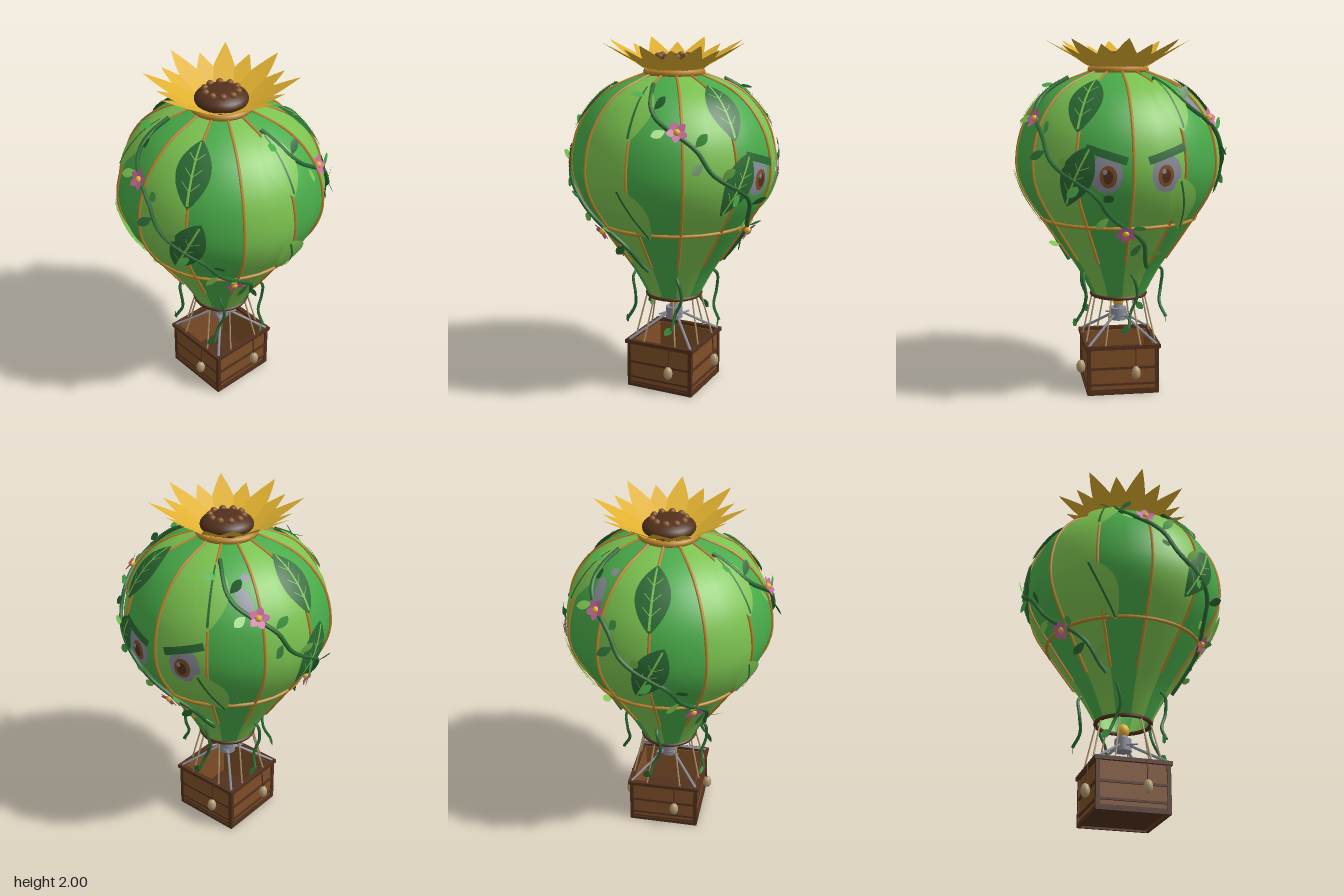
import * as THREE from 'three';

const V3 = (x, y, z) => new THREE.Vector3(x, y, z);
const RAD = Math.PI / 180;

function createModel() {
  const root = new THREE.Group();
  root.name = 'balloon';
  root.position.set(0.015, 0, -0.02);

  const mat = (name, color) => {
    const m = new THREE.MeshStandardMaterial({ color, side: THREE.DoubleSide });
    m.name = name;
    return m;
  };
  const light = mat('lightGreen', 0x7bc24f);
  const mid = mat('midGreen', 0x48aa48);
  const dark = mat('darkGreen', 0x2a6a33);
  const gold = mat('ropeGold', 0xb9832b);
  const yellow = mat('petalYellow', 0xe0b02f);
  const darkWood = mat('darkBrown', 0x52301c);
  const wood = mat('woodBrown', 0x804f27);
  const tan = mat('tan', 0xb09a70);
  const grey = mat('grey', 0x8a8d99);
  const pink = mat('pink', 0xcb689f);

  const add = (name, geo, m, parent = root) => {
    const mesh = new THREE.Mesh(geo, m);
    mesh.name = name;
    parent.add(mesh);
    return mesh;
  };
  const tube = (name, pts, r, m, seg = 24, sides = 6) =>
    add(name, new THREE.TubeGeometry(new THREE.CatmullRomCurve3(pts), seg, r, sides), m);
  const rod = (name, a, b, r, m) => {
    const d = b.clone().sub(a);
    const mesh = add(name, new THREE.CylinderGeometry(r, r, d.length(), 6), m);
    mesh.position.copy(a).add(b).multiplyScalar(0.5);
    mesh.quaternion.setFromUnitVectors(V3(0, 1, 0), d.normalize());
  };
  const box = (name, w, h, d, x, y, z, m) =>
    add(name, new THREE.BoxGeometry(w, h, d), m).position.set(x, y, z);
  const ring = (name, r, t, y, m) => {
    const mesh = add(name, new THREE.TorusGeometry(r, t, 8, 48), m);
    mesh.rotation.x = Math.PI / 2;
    mesh.position.y = y;
  };

  // Envelope profile, also used to lay details on the surface
  const profile = new THREE.SplineCurve([
    [0.155, 0.55], [0.235, 0.7], [0.335, 0.85], [0.435, 1.0], [0.535, 1.16],
    [0.575, 1.32], [0.537, 1.52], [0.43, 1.68], [0.3, 1.77], [0.15, 1.825],
  ].map(([r, y]) => new THREE.Vector2(r, y)));
  const L = profile.getLength();
  const heightToArc = (y) => {
    let lo = 0, hi = 1;
    for (let i = 0; i < 18; i++) {
      const m = (lo + hi) / 2;
      if (profile.getPointAt(m).y < y) lo = m; else hi = m;
    }
    return lo * L;
  };
  const frame = (s) => {
    const u = Math.min(1, Math.max(0, s / L));
    return [profile.getPointAt(u), profile.getTangentAt(u)];
  };
  const onArc = (theta, s, off) => {
    const [p, t] = frame(s);
    const r = p.x + t.y * off;
    return V3(Math.sin(theta) * r, p.y - t.x * off, Math.cos(theta) * r);
  };
  const onSurf = (deg, y, off) => onArc(deg * RAD, heightToArc(y), off);

  // Grid whose point (u along, v across) comes from a rule; u and v run -1..1
  const grid = (rule, nu = 12, nv = 4) => {
    const g = new THREE.PlaneGeometry(2, 2, nv, nu);
    const pos = g.attributes.position;
    for (let i = 0; i < pos.count; i++) {
      const p = rule(pos.getY(i), pos.getX(i));
      pos.setXYZ(i, p.x, p.y, p.z);
    }
    g.computeVertexNormals();
    return g;
  };
  const oval = (u) => Math.sqrt(Math.max(0, 1 - u * u));
  const leafy = (u) => Math.pow(Math.max(0, Math.cos(u * Math.PI / 2)), 0.8) * (1 + 0.25 * u);
  const bar = () => 1;
  // Thin plate that follows the envelope
  const patch = (name, m, deg, y, len, wid, rot, off, width, lift = 0) => {
    const s0 = heightToArc(y), r0 = frame(s0)[0].x;
    const c = Math.cos(rot), s = Math.sin(rot);
    return add(name, grid((u, v) => {
      const a = u * len / 2, b = v * wid / 2 * width(u);
      return onArc(deg * RAD + (a * s + b * c) / r0, s0 + a * c - b * s, off + lift * (u + 1) / 2);
    }, width === bar ? 8 : 16), m);
  };
  const bigLeaf = (isDark, deg, y, len, wid, rot) => {
    patch('bigLeaf', isDark ? dark : light, deg, y, len, wid, rot, 0.018, leafy);
    patch('leafVein', isDark ? light : dark, deg, y, len * 0.9, 0.011, rot, 0.024, bar);
    // side veins on the dark leaves
    if (isDark) for (const k of [-0.2, 0, 0.2]) for (const side of [-1, 1]) {
      const r0 = frame(heightToArc(y))[0].x;
      const a = k * len, b = side * wid * 0.13;
      const t = a * Math.sin(rot) + b * Math.cos(rot);
      patch('sideVein', light, deg + t / r0 / RAD, y + a * Math.cos(rot) * 0.75, wid * 0.32, 0.004,
        rot + side * 0.8, 0.023, bar);
    }
  };

  // Twelve gores with ribs
  const skin = profile.getSpacedPoints(32);
  for (let i = 0; i < 12; i++) {
    add('gore', new THREE.LatheGeometry(skin, 2, i * Math.PI / 6, Math.PI / 6), i % 2 ? mid : light);
    const pts = [];
    for (let k = 0; k <= 14; k++) pts.push(onSurf(i * 30, 0.78 + k * 1.04 / 14, 0.003));
    tube('rib', pts, 0.008, gold, 28);
  }
  ring('girdle', 0.442, 0.01, 1.005, gold);
  ring('crownRing', 0.155, 0.018, 1.835, gold);
  ring('mouthRing', 0.155, 0.012, 0.55, darkWood);

  // Sunflower crown
  for (let i = 0; i < 16; i++) {
    const big = i % 2 === 0, R = big ? 0.41 : 0.355, phi = i * Math.PI / 8;
    add('crownPetal', grid((u, v) => {
      const t = (u + 1) / 2, r = 0.11 + (R - 0.11) * t;
      const b = v * 0.084 * (1 - Math.pow(t, 1.9));
      const y = 1.842 + (big ? 0.158 : 0.135) * Math.pow(t, 1.1) - (big ? 0 : 0.006);
      return V3(Math.sin(phi) * r + Math.cos(phi) * b, y, Math.cos(phi) * r - Math.sin(phi) * b);
    }, 10, 4), yellow);
  }
  const disc = add('seedDisc', new THREE.SphereGeometry(0.145, 32, 16), darkWood);
  disc.scale.y = 0.42;
  disc.position.y = 1.87;
  for (let i = 0; i < 10; i++) {
    const a = (i + 0.5) * Math.PI / 5;
    add('seed', new THREE.SphereGeometry(0.02, 10, 8), wood).position.set(Math.sin(a) * 0.09, 1.917, Math.cos(a) * 0.09);
  }

  // Blossom standing on the surface
  const petalShape = new THREE.Shape();
  petalShape.moveTo(0, 0);
  petalShape.bezierCurveTo(0.03, 0.015, 0.028, 0.042, 0, 0.06);
  petalShape.bezierCurveTo(-0.028, 0.042, -0.03, 0.015, 0, 0);
  const petalGeo = new THREE.ShapeGeometry(petalShape, 6);
  const blossom = (deg, y) => {
    const g = new THREE.Group();
    g.name = 'blossom';
    g.position.copy(onSurf(deg, y, 0.032));
    g.quaternion.setFromUnitVectors(V3(0, 0, 1), onSurf(deg, y, 1).sub(onSurf(deg, y, 0)).normalize());
    for (let i = 0; i < 5; i++) {
      const p = add('blossomPetal', petalGeo, pink, g);
      p.rotation.set(0.2, 0, i * Math.PI * 0.4, 'ZXY');
    }
    add('blossomHeart', new THREE.SphereGeometry(0.019, 12, 8), yellow, g);
    root.add(g);
  };

  // Three spiralling vines with leaves and blossoms
  for (let k = 0; k < 3; k++) {
    const base = k * 120;
    const angle = (y) => base - 30 + 118 * (1.78 - y) / 1.02 + 3 * Math.sin(y * 22);
    const pts = [];
    for (let i = 0; i <= 20; i++) {
      const y = 1.78 - i * 1.02 / 20;
      pts.push(onSurf(angle(y), y, 0.014));
    }
    tube('vine', pts, 0.012, dark, 60);
    blossom(base - 3, 1.565);
    blossom(base + 57, 1.0);
    for (let i = 0; i < 12; i++) {
      const y = 1.75 - i * 0.083, side = i % 2 ? 1 : -1;
      const r = frame(heightToArc(y))[0].x;
      patch('vineLeaf', [mid, dark, light][i % 3], angle(y) + side * 0.042 / r / RAD, y + side * 0.025,
        0.075, 0.045, side > 0 ? 0.8 : -2.2, 0.012, leafy, 0.04);
    }
    bigLeaf(true, base + 30, 1.29, 0.36, 0.17, 0.47);
    bigLeaf(false, base - 28, 1.13, 0.36, 0.17, -0.38);
    bigLeaf(true, base + 30, 1.665, 0.36, 0.18, 0);
    bigLeaf(false, base + 90, 1.665, 0.36, 0.18, 0);
  }

  // Frowning face on the back
  for (const side of [-1, 1]) {
    const deg = 182 + side * 16, inner = deg - side * 1;
    patch('eyeWhite', grey, deg, 1.31, 0.2, 0.17, 0, 0.008, oval);
    patch('iris', wood, inner, 1.3, 0.115, 0.088, 0, 0.012, oval);
    patch('pupil', darkWood, inner, 1.3, 0.07, 0.05, 0, 0.016, oval);
    patch('eyeGlint', grey, inner - 1.5, 1.325, 0.026, 0.022, 0, 0.02, oval);
    patch('brow', dark, deg, 1.41, 0.22, 0.04, side * 1.27, 0.022, bar);
  }
  // Pale spots near the crown
  patch('paleSpot', grey, 231, 1.645, 0.15, 0.07, -0.4, 0.008, oval);
  patch('paleSpot', grey, 234, 1.725, 0.05, 0.045, 0, 0.008, oval);

  // Dangling tendrils
  for (let i = 0; i < 5; i++) {
    const a = (-98 + i * 72) * RAD;
    const at = (r, y, d) => V3(Math.sin(a + d) * r, y, Math.cos(a + d) * r);
    tube('tendril', [at(0.23, 0.71, 0), at(0.255, 0.68, 0.05), at(0.25, 0.58, 0.12),
      at(0.24, 0.49, -0.02), at(0.28, 0.41, -0.1)], 0.009, dark, 20);
    const leaf = add('tendrilLeaf', petalGeo, i % 2 ? mid : dark);
    leaf.position.copy(at(0.275, 0.425, -0.1));
    leaf.rotation.set(0, a, 2.4, 'YXZ');
  }

  // Burner and flame
  add('burner', new THREE.CylinderGeometry(0.048, 0.048, 0.07, 16), grey).position.y = 0.425;
  add('burnerNozzle', new THREE.CylinderGeometry(0.025, 0.03, 0.03, 12), grey).position.y = 0.47;
  const flame = add('flame', new THREE.SphereGeometry(0.036, 16, 12), yellow);
  flame.scale.y = 1.15;
  flame.position.y = 0.51;

  // Basket walls, floor and frame, one side per quarter turn
  box('basketFloor', 0.4, 0.02, 0.4, 0, 0.02, 0, darkWood);
  for (let q = 0; q < 4; q++) {
    const a = q * Math.PI / 2, along = q % 2;
    const turn = (x, y, z) => V3(x, y, z).applyAxisAngle(V3(0, 1, 0), a);
    const side = (name, w, h, d, x, y, z, m) => {
      const p = turn(x, y, z);
      box(name, along ? d : w, h, along ? w : d, p.x, p.y, p.z, m);
    };
    side('basketWall', 0.39, 0.26, 0.015, 0, 0.14, 0.19, wood);
    side('basketRim', 0.43, 0.022, 0.026, 0, 0.278, 0.202, darkWood);
    for (const [y, h] of [[0.155, 0.014], [0.06, 0.012], [0.01, 0.02]])
      side('basketBand', 0.41, h, 0.016, 0, y, 0.198, darkWood);
    side('basketPost', 0.022, 0.27, 0.022, 0.195, 0.14, 0.195, darkWood);
    rod('burnerStrut', turn(0.03, 0.42, 0.03), turn(0.195, 0.287, 0.195), 0.008, grey);
    rod('burnerArm', turn(0, 0.42, 0.04), turn(0.065, 0.42, 0.065), 0.006, grey);
    // suspension ropes
    for (const s of [-1, 1])
      rod('rope', turn(s * 0.06, 0.55, 0.143), turn(s * 0.1, 0.285, 0.2), 0.005, tan);
    // sandbag on a cord
    rod('sandbagCord', turn(0.07, 0.28, 0.217), turn(0.07, 0.16, 0.226), 0.004, darkWood);
    const bag = add('sandbag', new THREE.SphereGeometry(0.026, 14, 10), tan);
    bag.scale.y = 1.5;
    bag.position.copy(turn(0.07, 0.133, 0.229));
  }

  const group = new THREE.Group();
  group.add(root);
  return group;
}

export { createModel };
